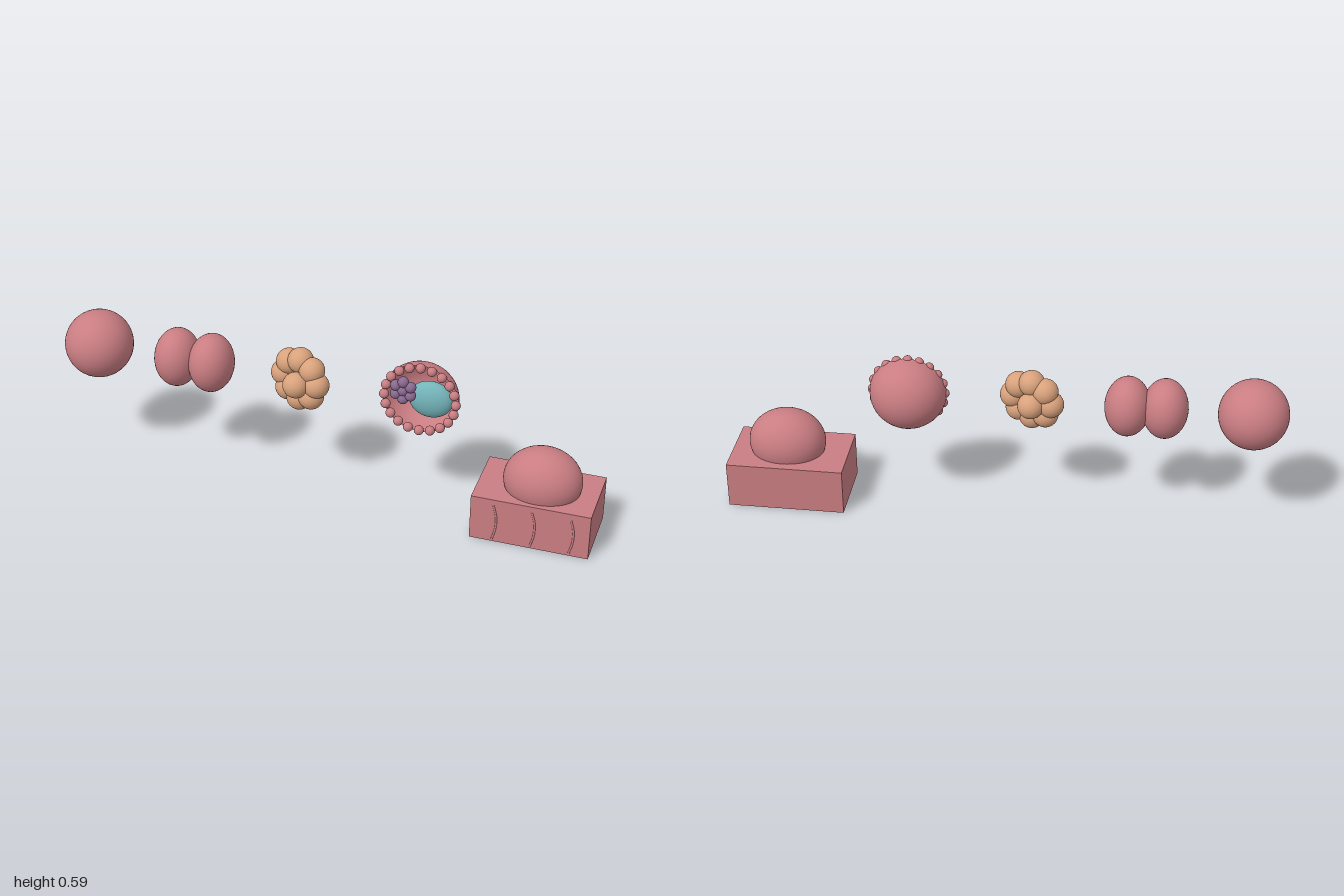
import * as THREE from 'three';

const mat = (name, color, side = THREE.FrontSide) => {
  const m = new THREE.MeshStandardMaterial({ color, side });
  m.name = name;
  return m;
};

export function createModel() {
  const root = new THREE.Group();
  root.name = 'embryoStages';
  const pink = mat('rose tissue', 0xc97d82, THREE.DoubleSide);
  const tan = mat('tan cells', 0xd9a27c);
  const purple = mat('purple inner cells', 0x8a6a92);
  const teal = mat('teal cavity', 0x74b4ba);

  const group = (name, x, y, z) => {
    const g = new THREE.Group();
    g.name = name;
    g.position.set(x, y, z);
    root.add(g);
    return g;
  };
  const ball = (parent, name, material, [x, y, z], [rx, ry, rz], seg = 32) => {
    const m = new THREE.Mesh(new THREE.SphereGeometry(1, seg, seg / 2), material);
    m.name = name;
    m.position.set(x, y, z);
    m.scale.set(rx, ry, rz);
    parent.add(m);
    return m;
  };

  // Single cell
  const single = group('singleCell', -0.875, 0.45, 0.004);
  ball(single, 'cell', pink, [0, 0, 0], [0.125, 0.125, 0.127], 48);

  // Two-cell stage: a pair of tall ellipsoids pressed together
  const pair = group('twoCells', -0.5, 0.45, 0.004);
  for (const s of [-1, 1])
    ball(pair, s < 0 ? 'rightCell' : 'leftCell', pink, [s * 0.066, 0, 0], [0.082, 0.11, 0.097], 40);

  // Cell cluster: tilted ring of eight with front and back centre cells
  const cluster = group('cellCluster', -0.095, 0.45, 0.008);
  const r = 0.047;
  for (let i = 0; i < 8; i++) {
    const a = (i * Math.PI) / 4;
    ball(cluster, 'ringCell' + (i + 1), tan,
      [0.07 * Math.cos(a), 0.07 * Math.sin(a), 0.028 * Math.cos(a) - 0.008 * Math.sin(a)], [r, r, r]);
  }
  ball(cluster, 'frontCell', tan, [0, 0, 0.048], [r, r, r]);
  ball(cluster, 'backCell', tan, [0, 0, -0.045], [r, r, r]);

  // Hollow stage: open half shell with a beaded rim
  const hollow = group('hollowStage', 0.347, 0.45, 0.006);
  const shell = new THREE.Mesh(
    new THREE.SphereGeometry(1, 48, 16, 0, Math.PI * 2, 0, Math.PI / 2).rotateX(-Math.PI / 2), pink);
  shell.name = 'halfShell';
  shell.scale.set(0.138, 0.134, 0.132);
  hollow.add(shell);
  for (let i = 0; i < 20; i++) {
    const a = (i * Math.PI) / 10;
    ball(hollow, 'rimBead' + (i + 1), pink,
      [0.13 * Math.cos(a), 0.126 * Math.sin(a), 0.004], [0.0175, 0.0175, 0.0175], 20);
  }
  ball(hollow, 'cavity', teal, [0.029, -0.018, -0.04], [0.08, 0.07, 0.04]);

  // Inner cell mass: six cells around one
  ball(hollow, 'innerCell', purple, [-0.054, 0.041, 0.028], [0.02, 0.02, 0.02], 20);
  for (let i = 0; i < 6; i++) {
    const a = Math.PI / 2 + (i * Math.PI) / 3;
    ball(hollow, 'innerCell' + (i + 1), purple,
      [-0.054 + 0.031 * Math.cos(a), 0.041 + 0.033 * Math.sin(a), 0.028], [0.02, 0.02, 0.02], 20);
  }

  // Tissue block with the embedded dome
  const implant = group('implantedStage', 0.7875, 0, 0);
  const block = new THREE.Mesh(new THREE.BoxGeometry(0.425, 0.173, 0.264), pink);
  block.name = 'tissueBlock';
  block.position.set(0, 0.0865, -0.001);
  implant.add(block);
  ball(implant, 'dome', pink, [0.0125, 0.21, 0.006], [0.14, 0.122, 0.113], 48);

  // Faint wavy ridges on the front of the block
  for (let i = -1; i <= 1; i++) {
    const curve = new THREE.CatmullRomCurve3([[-0.006, 0.01], [0.004, 0.05], [0.006, 0.1], [-0.006, 0.15]]
      .map(([x, y]) => new THREE.Vector3(x + 0.0125 + i * 0.137, y, 0.1295)));
    const ridge = new THREE.Mesh(new THREE.TubeGeometry(curve, 16, 0.004, 8), pink);
    ridge.name = 'ridge' + (i + 2);
    implant.add(ridge);
  }
  return root;
}
